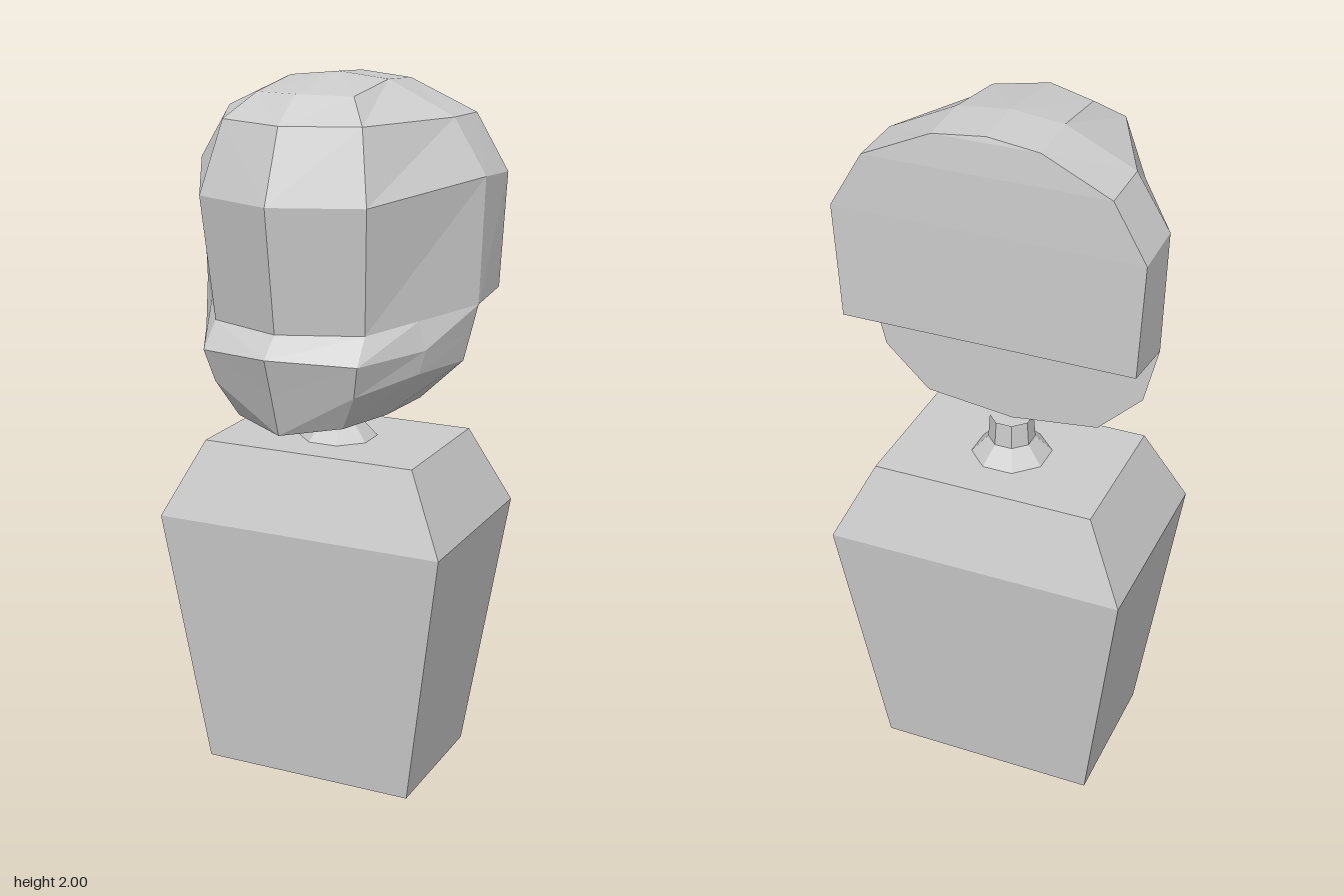
import * as THREE from 'three';

// Skins a grid of points on the +x half (rows upward, columns back to front) and mirrors it
function mirroredSkin(name, rows, material) {
  const pos = [];
  const tri = (a, b, c) => {
    pos.push(...a, ...b, ...c);
    for (const [x, y, z] of [a, c, b]) pos.push(-x, y, z);
  };
  const same = (p, q) => p.every((v, k) => Math.abs(v - q[k]) < 1e-6);
  const add = (a, b, c) => { if (!same(a, b) && !same(b, c) && !same(a, c)) tri(a, b, c); };
  for (let i = 0; i < rows.length - 1; i++) {
    for (let j = 0; j < rows[i].length - 1; j++) {
      const a = rows[i][j], b = rows[i][j + 1], c = rows[i + 1][j], d = rows[i + 1][j + 1];
      add(a, c, b);
      add(b, c, d);
    }
  }
  const geo = new THREE.BufferGeometry();
  geo.setAttribute('position', new THREE.Float32BufferAttribute(pos, 3));
  geo.computeVertexNormals();
  const mesh = new THREE.Mesh(geo, material);
  mesh.name = name;
  return mesh;
}

// Adds a point on the middle plane so that the flat back is closed
const closeBack = (row) => [[0, row[0][1], row[0][2]], ...row];

export function createModel() {
  const group = new THREE.Group();
  group.name = 'headOnPedestal';
  const grey = new THREE.MeshStandardMaterial({ color: 0xcccccc, flatShading: true });
  grey.name = 'plain grey';

  // Tapered pedestal: half width, height, back z, front z
  const blockRow = ([w, y, b, f]) => [[0, y, b], [w, y, b], [w, y, f], [0, y, f]];
  group.add(mirroredSkin('pedestal', [
    [0, 0, -0.295, 0.13],
    [0.315, 0, -0.295, 0.13],
    [0.425, 0.76, -0.37, 0.197],
    [0.315, 0.98, -0.3, 0.125],
    [0, 0.98, -0.3, 0.125],
  ].map(blockRow), grey));

  // Neck post with a flared foot
  const neckProfile = [[0.112, 0.98], [0.065, 1.03], [0.06, 1.1]].map(([r, y]) => new THREE.Vector2(r, y));
  const neck = new THREE.Mesh(new THREE.LatheGeometry(neckProfile, 8, Math.PI / 8), grey);
  neck.name = 'neck';
  neck.position.z = -0.085;
  group.add(neck);

  // Cranium and face: back edge, side, brow corner, front middle
  group.add(mirroredSkin('cranium', [
    [[0.41, 1.415, -0.255], [0.415, 1.4, -0.085], [0.22, 1.36, 0.225], [0, 1.36, 0.31]],
    [[0.427, 1.735, -0.255], [0.427, 1.745, -0.085], [0.24, 1.7, 0.265], [0, 1.7, 0.36]],
    [[0.335, 1.89, -0.25], [0.335, 1.895, -0.085], [0.2, 1.895, 0.205], [0, 1.895, 0.28]],
    [[0.145, 1.975, -0.24], [0.145, 1.985, -0.085], [0.14, 1.96, 0.125], [0, 1.965, 0.18]],
    [[0, 1.99, -0.235], [0, 2, -0.085], [0, 1.965, 0.18], [0, 1.965, 0.18]],
  ].map(closeBack), grey));

  // Overhang below the back of the cranium
  group.add(mirroredSkin('craniumUnderside', [
    [[0, 1.4, -0.085], [0.415, 1.4, -0.085]],
    [[0, 1.415, -0.255], [0.41, 1.415, -0.255]],
  ], grey));

  // Jaw with a protruding ledge: back edge, cheek, chin corner, front middle
  group.add(mirroredSkin('jaw', [
    [[0, 1.09, -0.085], [0, 1.086, 0.08], [0, 1.083, 0.2], [0, 1.08, 0.29]],
    [[0.25, 1.12, -0.085], [0.22, 1.11, 0.08], [0.155, 1.1, 0.22], [0, 1.08, 0.29]],
    [[0.375, 1.24, -0.085], [0.315, 1.235, 0.08], [0.205, 1.2, 0.26], [0, 1.2, 0.332]],
    [[0.395, 1.32, -0.085], [0.33, 1.3, 0.08], [0.225, 1.29, 0.285], [0, 1.305, 0.37]],
    [[0.415, 1.4, -0.085], [0.311, 1.379, 0.08], [0.22, 1.36, 0.225], [0, 1.36, 0.31]],
  ].map(closeBack), grey));

  return group;
}
